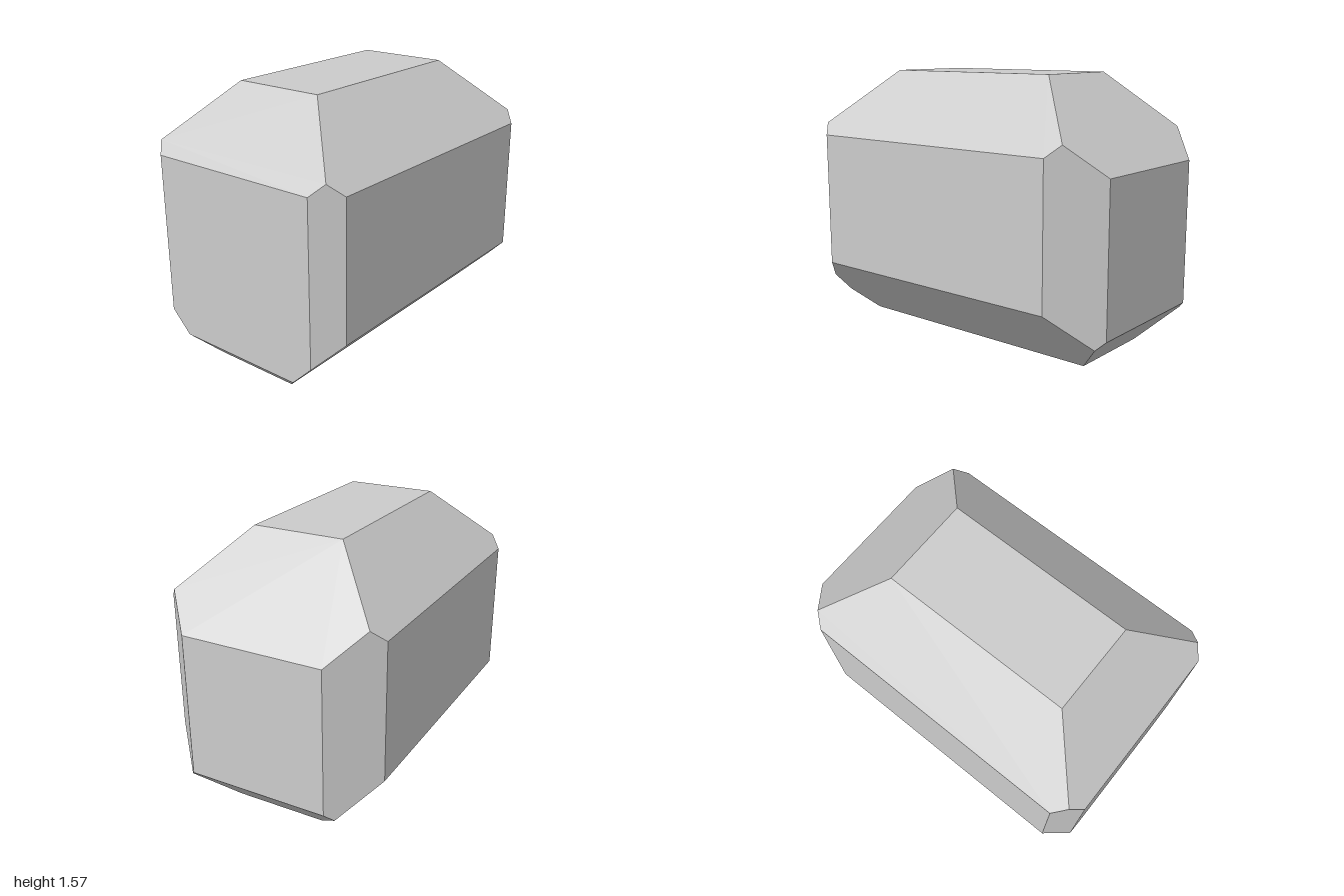
import * as THREE from 'three';

// Faces of the block as [normal x, y, z, offset], meaning n . p <= offset
const FACES = [
  [1, 0, 0, 1], [-1, 0, 0, 1],
  [0, 1, 0, 1.57], [0, -1, 0, 0],
];
for (const s of [1, -1]) {
  FACES.push(
    [0, 0, s, 0.655],                           // front and back
    [0, 1, s, 1.84], [0, -1, s, 0.27],          // long top and bottom bevels
    [1, 0, s, 1.42], [-1, 0, s, 1.525],         // upright corner bevels
  );
}
FACES.push(
  [1, 1, 0, 2.08], [-1, 1, 0, 2.19],            // end bevels at the top
  [1, -1, 0, 0.765], [-1, -1, 0, 0.87],         // end bevels at the bottom
);

// Point shared by three planes, or null if they do not meet in one point
function meet(a, b, c) {
  const bc = b.n.clone().cross(c.n);
  const det = a.n.dot(bc);
  if (Math.abs(det) < 1e-6) return null;
  return bc.multiplyScalar(a.d)
    .addScaledVector(c.n.clone().cross(a.n), b.d)
    .addScaledVector(a.n.clone().cross(b.n), c.d)
    .divideScalar(det);
}

// Solid enclosed by all the planes, one flat polygon per plane
function solidFromPlanes(list) {
  const planes = list.map(([x, y, z, d]) => ({ n: new THREE.Vector3(x, y, z), d }));
  const positions = [], normals = [];
  for (const face of planes) {
    const corners = [];
    for (let i = 0; i < planes.length; i++) {
      for (let j = i + 1; j < planes.length; j++) {
        const p = meet(face, planes[i], planes[j]);
        if (!p || planes.some((q) => q.n.dot(p) > q.d + 1e-5)) continue;
        if (!corners.some((c) => c.distanceTo(p) < 1e-4)) corners.push(p);
      }
    }
    if (corners.length < 3) continue;

    // Order the corners counter-clockwise as seen from outside
    const n = face.n.clone().normalize();
    const mid = new THREE.Vector3();
    corners.forEach((c) => mid.addScaledVector(c, 1 / corners.length));
    const u = corners[0].clone().sub(mid).normalize();
    const v = n.clone().cross(u);
    const angle = (p) => {
      const r = p.clone().sub(mid);
      return Math.atan2(r.dot(v), r.dot(u));
    };
    corners.sort((p, q) => angle(p) - angle(q));

    for (let k = 1; k < corners.length - 1; k++) {
      for (const p of [corners[0], corners[k], corners[k + 1]]) {
        positions.push(p.x, p.y, p.z);
        normals.push(n.x, n.y, n.z);
      }
    }
  }
  const geometry = new THREE.BufferGeometry();
  geometry.setAttribute('position', new THREE.Float32BufferAttribute(positions, 3));
  geometry.setAttribute('normal', new THREE.Float32BufferAttribute(normals, 3));
  return geometry;
}

export function createModel() {
  const model = new THREE.Group();
  model.name = 'bevelledBlock';
  const material = new THREE.MeshStandardMaterial({ color: 0xcccccc, flatShading: true });
  const block = new THREE.Mesh(solidFromPlanes(FACES), material);
  block.name = 'block';
  model.add(block);
  return model;
}
